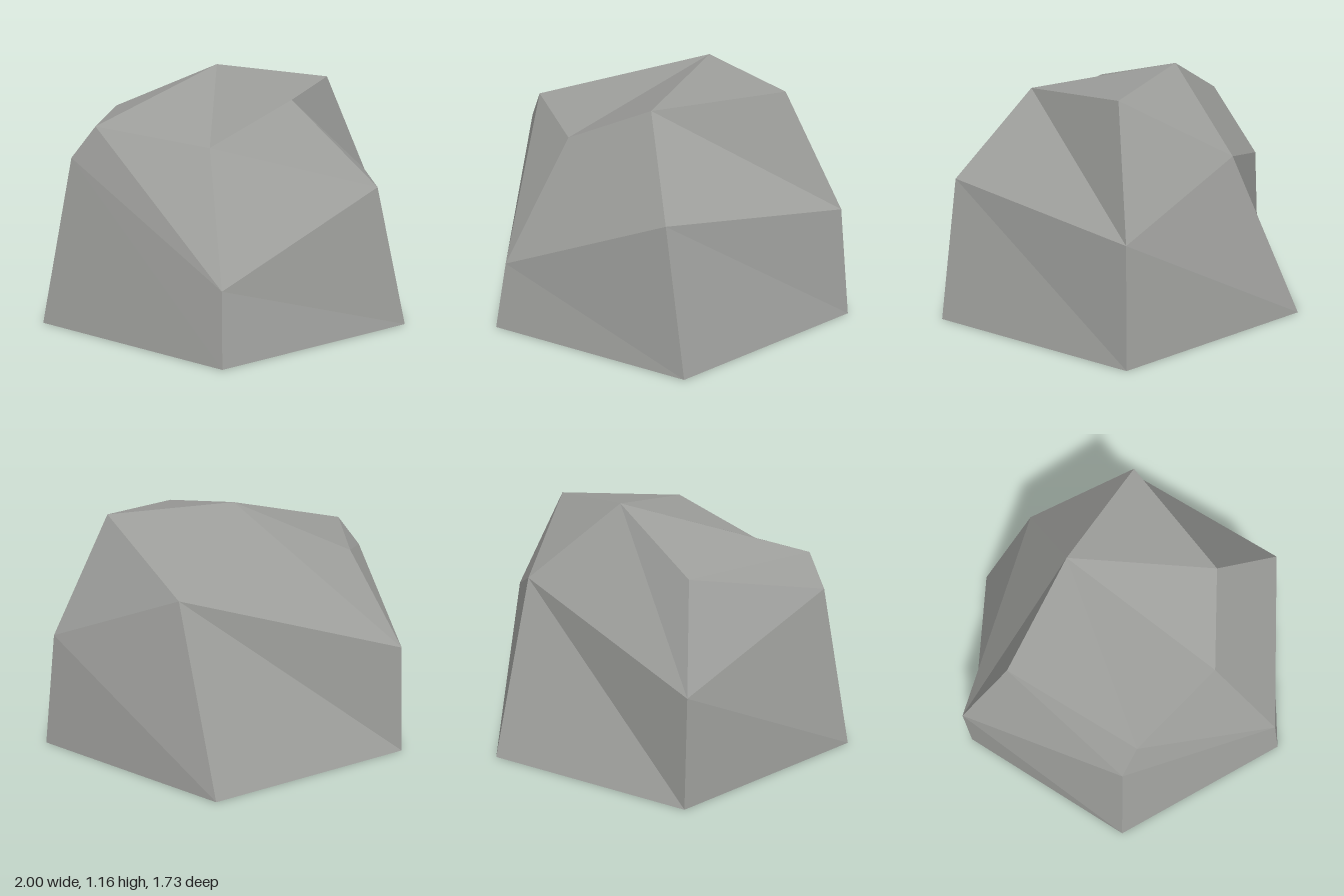
import * as THREE from 'three';

// Three hexagonal rings, each running from +x towards +z
const SIDES = 6;
const base = Array.from({ length: SIDES }, (_, i) => {
  const a = (i / SIDES) * Math.PI * 2;
  return [Math.cos(a), 0, Math.sin(a)];
});
const middle = [
  [0.925, 0.55, 0], [0.37, 0.67, 0.78], [-0.465, 0.32, 0.8],
  [-0.825, 0.79, 0], [-0.49, 0.52, -0.825], [0.5, 0.805, -0.51],
];
const upper = [
  [0.625, 1.1, 0.02], [0.125, 1.05, 0.425], [-0.32, 0.86, 0.43],
  [-0.725, 0.94, 0.065], [-0.37, 0.94, -0.55], [0.11, 1.165, -0.28],
];

function buildRock() {
  const rings = [base, middle, upper];
  const index = [];
  // Side bands between neighbouring rings
  for (let r = 0; r < rings.length - 1; r++) {
    for (let i = 0; i < SIDES; i++) {
      const next = (i + 1) % SIDES;
      const a = r * SIDES + i, b = r * SIDES + next;
      index.push(a, b + SIDES, b, a, a + SIDES, b + SIDES);
    }
  }
  // Flat underside, and a top fanned out from the highest corner
  const top = (rings.length - 1) * SIDES;
  for (let i = 1; i < SIDES - 1; i++) index.push(0, i, i + 1);
  for (let i = 0; i < SIDES - 2; i++) index.push(top + SIDES - 1, top + i + 1, top + i);

  const indexed = new THREE.BufferGeometry();
  indexed.setAttribute('position', new THREE.Float32BufferAttribute(rings.flat(2), 3));
  indexed.setIndex(index);
  const geometry = indexed.toNonIndexed(); // separate faces for a faceted look
  geometry.computeVertexNormals();
  return geometry;
}

export function createModel() {
  const group = new THREE.Group();
  group.name = 'boulder';
  const stone = new THREE.MeshStandardMaterial({ color: 0x9c9d9a });
  stone.name = 'stone grey';
  stone.flatShading = true;
  const rock = new THREE.Mesh(buildRock(), stone);
  rock.name = 'rock';
  group.add(rock);
  return group;
}
